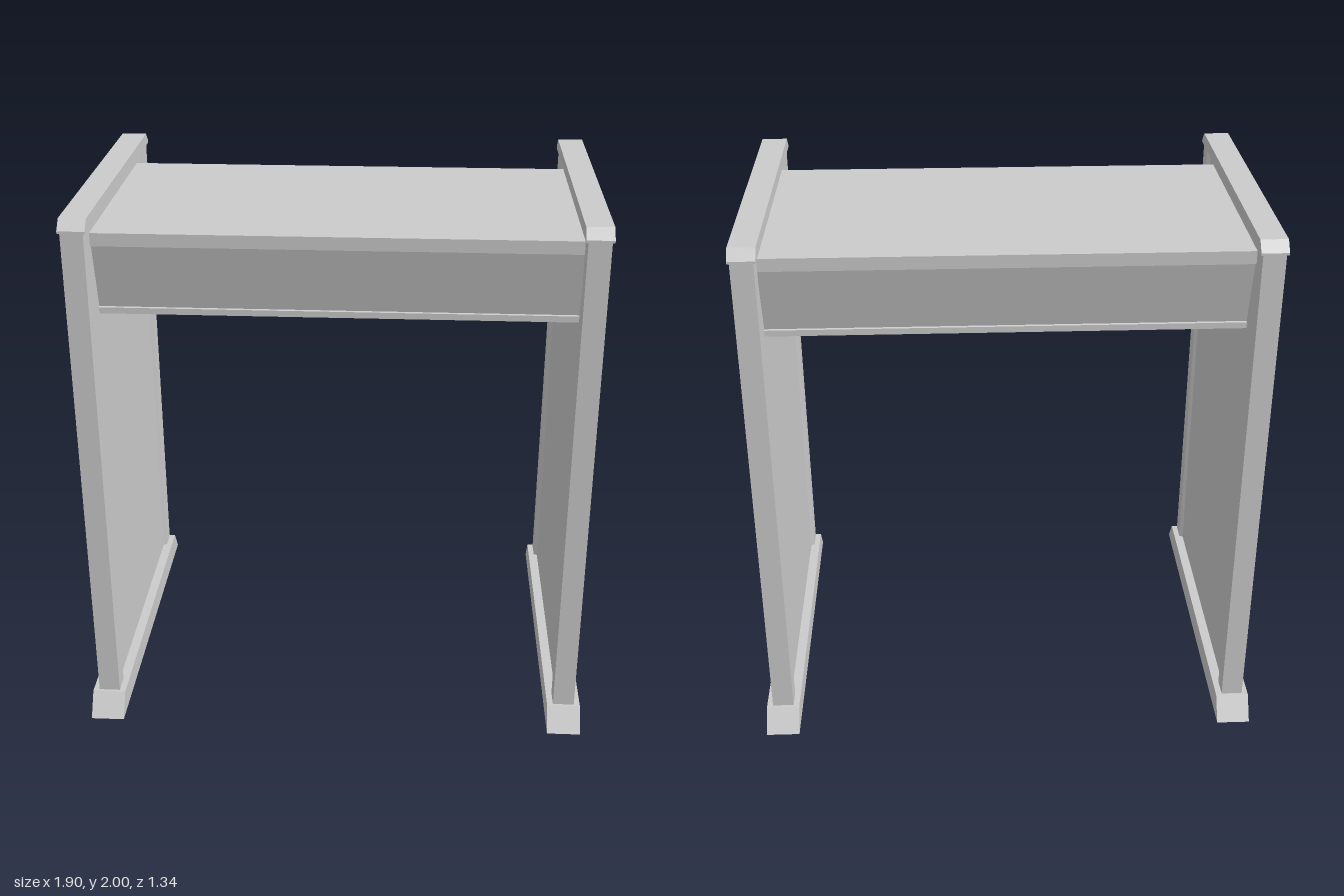
import * as THREE from 'three';

const material = new THREE.MeshStandardMaterial({ color: 0xcccccc, flatShading: true });

// Mirror a half outline (positive u, listed bottom to top) into a closed shape
function mirroredShape(half) {
  const left = half.map(([u, v]) => [-u, v]).reverse();
  return new THREE.Shape([...half, ...left].map(([u, v]) => new THREE.Vector2(u, v)));
}

function extrude(half, depth) {
  return new THREE.ExtrudeGeometry(mirroredShape(half), { depth, bevelEnabled: false });
}

// Extrude a (z, y) outline along x, centred on x
function alongX(name, half, width, x) {
  const geometry = extrude(half, width);
  geometry.translate(0, 0, -width / 2);
  geometry.rotateY(Math.PI / 2);
  const mesh = new THREE.Mesh(geometry, material);
  mesh.name = name;
  mesh.position.x = x;
  return mesh;
}

function createSide(name, x) {
  const side = new THREE.Group();
  side.name = name;

  // Foot with sloping ends
  side.add(alongX('foot', [[0.67, 0], [0.61, 0.088]], 0.126, x));

  // Upright wall: thin panel between two thicker edge posts (plan section)
  const t = 0.04, p = 0.026;
  const plan = [
    [0.518, -p], [0.525, -t], [0.6, -t],
    [0.6, t], [0.525, t], [0.518, p],
  ];
  const geometry = extrude(plan, 1.88);
  geometry.rotateY(Math.PI / 2);  // turn the section to run along z
  geometry.rotateZ(Math.PI / 2);  // stand it upright
  const wall = new THREE.Mesh(geometry, material);
  wall.name = 'wallPanel';
  wall.position.set(x, 0.08, 0);
  side.add(wall);

  // Cap rail with chamfered ends
  side.add(alongX('capRail', [[0.605, 1.955], [0.605, 1.964], [0.57, 2]], 0.096, x));
  return side;
}

export function createModel() {
  const model = new THREE.Group();
  model.name = 'walkThroughGate';
  model.add(createSide('leftSide', 0.885), createSide('rightSide', -0.885));

  // Overhead box: lip at the top, faces tapering down to a narrow bottom edge
  const beam = [
    [0.39, 1.588], [0.39, 1.611], [0.382, 1.613],
    [0.44, 1.862], [0.453, 1.862], [0.453, 1.91],
  ];
  model.add(alongX('overheadBox', beam, 1.73, 0));
  return model;
}
